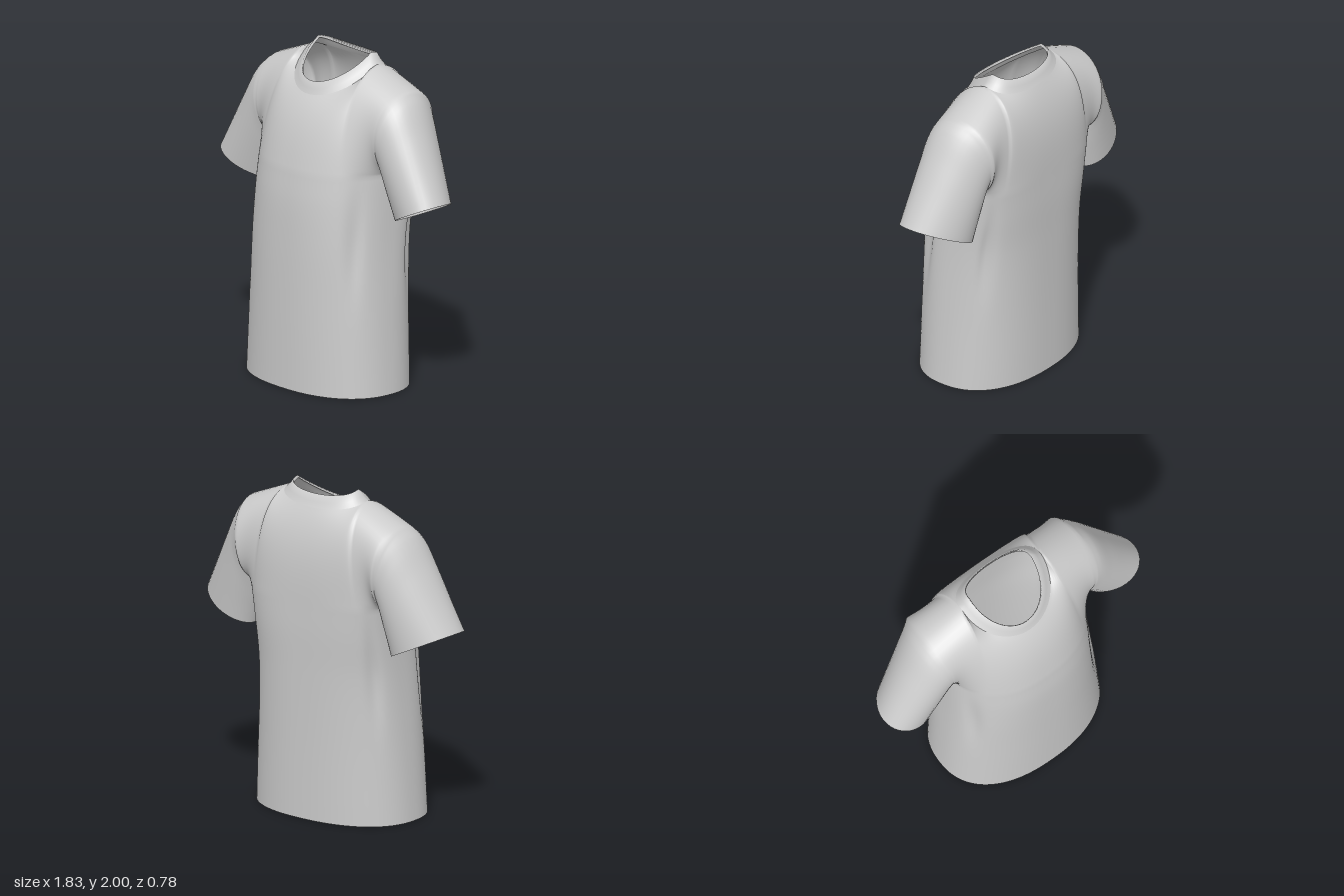
import * as THREE from 'three';
import { mergeGeometries, mergeVertices } from 'three/addons/utils/BufferGeometryUtils.js';

const V = (x, y, z) => new THREE.Vector3(x, y, z);
const lerp = THREE.MathUtils.lerp;
const S = 64;   // columns across the front or back panel
const M = 20;   // rows from armpit to shoulder

// Skins a list of point rows; normals face (along row) x (row to row).
function skin(rows) {
  const n = rows[0].length, pos = [], index = [];
  rows.forEach(r => r.forEach(p => pos.push(p.x, p.y, p.z)));
  for (let j = 0; j < rows.length - 1; j++) {
    for (let i = 0; i < n - 1; i++) {
      const a = j * n + i, b = a + 1, c = a + n, d = c + 1;
      index.push(a, b, d, a, d, c);
    }
  }
  const g = new THREE.BufferGeometry();
  g.setAttribute('position', new THREE.Float32BufferAttribute(pos, 3));
  g.setIndex(index);
  return g;
}

function fabric(name, parts) {
  const g = mergeVertices(mergeGeometries(parts), 1e-4);
  g.computeVertexNormals();
  const mesh = new THREE.Mesh(g, new THREE.MeshStandardMaterial({ color: 0xcccccc, side: THREE.DoubleSide }));
  mesh.name = name;
  return mesh;
}

// Body sections: y, half width, front z, back z, side seam z, front and back squareness
const sections = [
  [0, 0.54, 0.39, -0.365, 0.01, 2.3, 2.3],
  [0.5, 0.51, 0.387, -0.37, 0, 2.3, 2.4],
  [0.9, 0.487, 0.38, -0.378, -0.03, 2.4, 2.6],
  [1.15, 0.48, 0.368, -0.385, -0.07, 2.4, 3],
  [1.33, 0.48, 0.345, -0.385, -0.11, 2.4, 3.3],
];

// Point on a body section; s runs -1..1 between the side seams, f is 1 front, -1 back
function sectionPoint([y, w, front, back, zc, nf, nb], s, f) {
  const e = 2 / (f > 0 ? nf : nb), a = s * Math.PI / 2;
  const x = w * Math.sign(s) * Math.abs(Math.sin(a)) ** e;
  const z = lerp(zc, f > 0 ? front : back, Math.max(0, Math.cos(a)) ** e);
  return V(f * x, y, z);
}

// Neck loops: half width, side y and z, front y and z, back y and z
const neckSeam = [0.29, 1.94, -0.11, 1.755, 0.175, 1.885, -0.28];
const neckEdge = [0.23, 2.0, -0.12, 1.83, 0.145, 1.96, -0.24];
const neckInner = [0.222, 1.985, -0.12, 1.815, 0.137, 1.93, -0.24];

function neckPoint([w, ys, zs, yf, zf, yb, zb], q, f) {
  const a = q * Math.PI / 2, c = Math.max(0, Math.cos(a));
  return f > 0
    ? V(w * Math.sin(a), lerp(ys, yf, c), lerp(zs, zf, c))
    : V(-w * Math.sin(a), lerp(ys, yb, c), lerp(zs, zb, c ** 0.7));
}

// Top edge of a panel: neck seam in the middle, shoulder seams outside
function topPoint(s, f) {
  const m = Math.abs(s);
  if (m <= 0.5) return neckPoint(neckSeam, 2 * s, f);
  const t = 2 * m - 1;
  return V(f * Math.sign(s) * lerp(0.29, 0.56, t), lerp(1.94, 1.83, t), lerp(-0.11, -0.12, t));
}

// Chest to shoulder as a Hermite curve; s = +-1 gives the armhole
function upperPoint(s, f, t) {
  const p0 = sectionPoint(sections[4], s, f), p1 = topPoint(s, f);
  const m = Math.abs(s), side = m ** 4, out = Math.max(0, 2 * m - 1), mid = Math.min(1, 2 * m) ** 2;
  const dx = p1.x - p0.x;
  const t0 = V(dx, lerp(f > 0 ? 0.45 : 0.6, 0, side), f * lerp(f > 0 ? -0.1 : 0, 0.92, side));
  const t1 = V(dx, lerp(lerp(f > 0 ? 0.35 : 0.5, 0.1, mid), 0, out), -f * lerp(lerp(0.3, 0.8, mid), 0.92, out));
  const t2 = t * t, t3 = t2 * t;
  return V(0, 0, 0)
    .addScaledVector(p0, 2 * t3 - 3 * t2 + 1).addScaledVector(t0, t3 - 2 * t2 + t)
    .addScaledVector(p1, 3 * t2 - 2 * t3).addScaledVector(t1, t3 - t2);
}

// Front or back panel from hem to shoulders
function panel(f) {
  const columns = [];
  for (let i = 0; i <= S; i++) {
    const s = i / S * 2 - 1;
    const curve = new THREE.CatmullRomCurve3(sections.map(k => sectionPoint(k, s, f)));
    const col = curve.getPoints(28);
    // Soft drape folds running down from the armpits
    col.forEach(p => {
      const g = Math.exp(-(((Math.abs(s) - 0.66) / 0.08) ** 2) - ((p.y - 0.9) / 0.27) ** 2);
      p.z -= f * 0.022 * g;
      p.x *= 1 - 0.03 * g;
    });
    for (let j = 1; j <= M; j++) col.push(upperPoint(s, f, j / M));
    columns.push(col);
  }
  return columns[0].map((_, j) => columns.map(c => c[j]));
}

// Sleeve rows from the armhole to the cuff, on the +x side
function sleeveRows() {
  const top = new THREE.CatmullRomCurve3([V(0.56, 1.83, 0), V(0.625, 1.765, 0), V(0.72, 1.6, 0), V(0.82, 1.41, 0), V(0.915, 1.23, 0)]);
  const low = new THREE.CatmullRomCurve3([V(0.48, 1.33, 0), V(0.485, 1.27, 0), V(0.495, 1.2, 0), V(0.51, 1.13, 0), V(0.53, 1.05, 0)]);
  const rows = [];
  for (let j = 0; j <= 20; j++) {
    const t = j / 20, a = top.getPoint(t), b = low.getPoint(t), row = [];
    for (let i = 0; i <= 2 * M; i++) {
      if (j === 0) {
        row.push(i <= M ? upperPoint(1, 1, 1 - i / M) : upperPoint(-1, -1, (i - M) / M));
        continue;
      }
      const ang = Math.PI * i / M, c = Math.cos(ang);
      const p = b.clone().lerp(a, (1 + c) / 2);
      p.z = lerp(-0.112, -0.085, t) + lerp(0.23, 0.185, t) * Math.sin(ang) + 0.05 * t * c;
      row.push(p);
    }
    rows.push(row);
  }
  return rows;
}

const mirror = rows => rows.map(r => r.map(p => V(-p.x, p.y, p.z)).reverse());

// Narrow turned-in strip inside an opening
function facing(edge, offset, shrink) {
  const c = edge.reduce((a, p) => a.add(p), V(0, 0, 0)).divideScalar(edge.length);
  const inset = edge.map(p => p.clone().lerp(c, shrink));
  return [inset.map(p => p.clone().add(offset)), inset, edge];
}

export function createModel() {
  const shirt = new THREE.Group();
  shirt.name = 'tShirt';

  // Torso and sleeves share one smooth skin
  const front = panel(1), back = panel(-1), sleeve = sleeveRows();
  shirt.add(fabric('torsoAndSleeves', [front, back, sleeve, mirror(sleeve)].map(skin)));

  // Collar band with turned-in edge
  const collar = [1, -1].map(f => {
    const loop = k => Array.from({ length: S / 2 + 1 }, (_, i) => neckPoint(k, i / (S / 4) - 1, f));
    const seam = loop(neckSeam), edge = loop(neckEdge);
    const mid = seam.map((p, i) => p.clone().lerp(edge[i], 0.5).add(V(0, -0.006, 0)));
    return skin([seam, mid, edge, loop(neckInner)]);
  });
  shirt.add(fabric('collar', collar));

  // Hem and cuffs
  const hemEdge = [...front[0], ...back[0].slice(1)];
  shirt.add(fabric('bottomHem', [skin(facing(hemEdge, V(0, 0.04, 0), 0.02))]));
  const cuff = facing(sleeve[20], V(-0.014, 0.03, 0), 0.035).reverse();
  shirt.add(fabric('leftCuff', [skin(cuff)]));
  shirt.add(fabric('rightCuff', [skin(mirror(cuff))]));
  return shirt;
}
